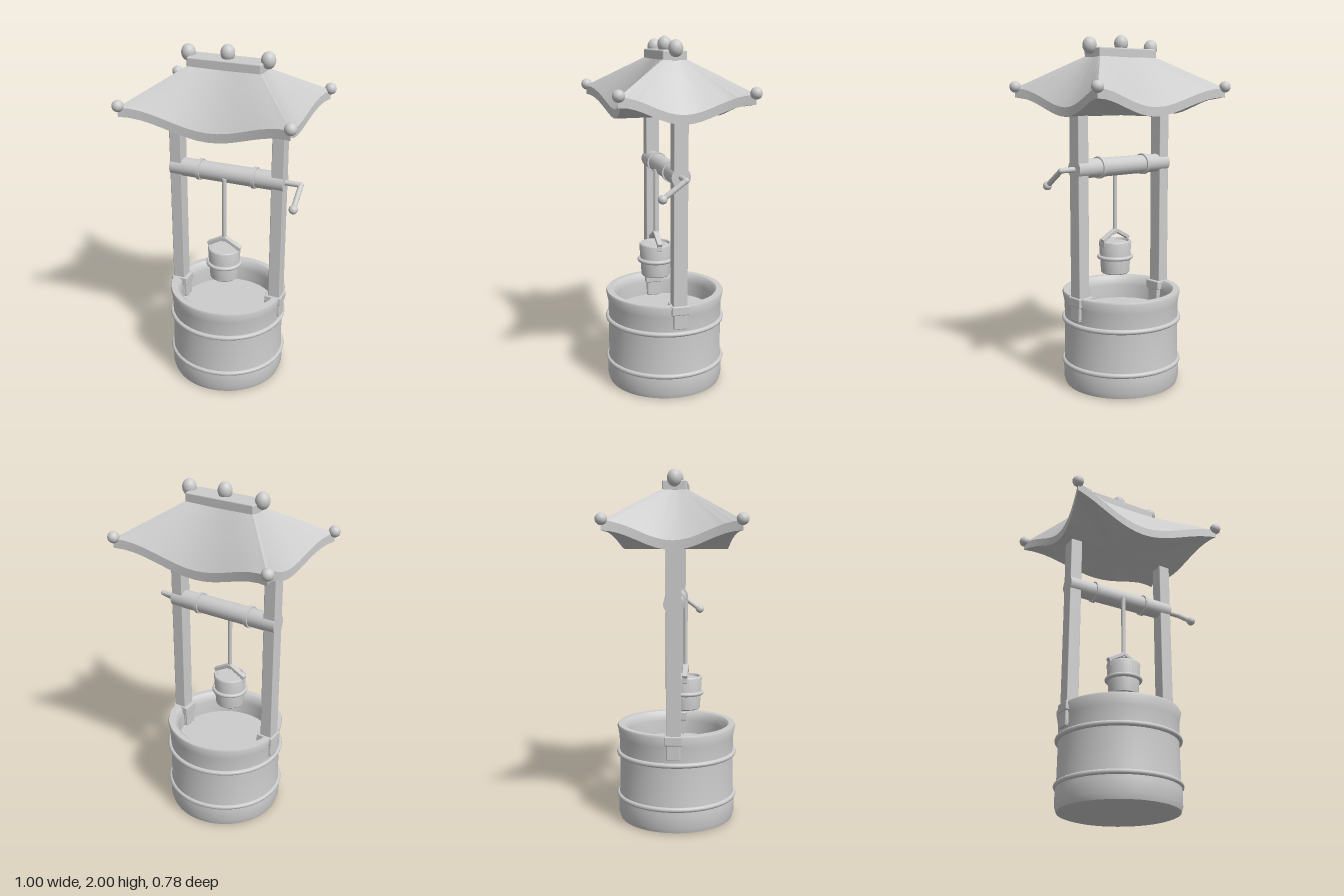
import * as THREE from 'three';
import { toCreasedNormals } from 'three/addons/utils/BufferGeometryUtils.js';
import { RoundedBoxGeometry } from 'three/addons/geometries/RoundedBoxGeometry.js';

const clay = new THREE.MeshStandardMaterial({ color: 0xcccccc });
clay.name = 'light grey';

export function createModel() {
  const model = new THREE.Group();
  model.name = 'well';

  const add = (name, geometry, x = 0, y = 0, z = 0, parent = model) => {
    const mesh = new THREE.Mesh(geometry, clay);
    mesh.name = name;
    mesh.position.set(x, y, z);
    parent.add(mesh);
    return mesh;
  };
  const lathe = (points, segments = 48) => toCreasedNormals(
    new THREE.LatheGeometry(points.map(([r, y]) => new THREE.Vector2(r, y)), segments), 0.7);
  const block = (w, h, d, r = 0.006) => new RoundedBoxGeometry(w, h, d, 2, r);
  const hoop = (name, radius, tube, x, y, z, parent) => {
    add(name, new THREE.TorusGeometry(radius, tube, 10, 48), x, y, z, parent).rotation.x = Math.PI / 2;
  };
  // Round rod between two points
  const rod = (name, a, b, radius, parent) => {
    const from = new THREE.Vector3(...a), to = new THREE.Vector3(...b);
    const dir = to.clone().sub(from);
    const mesh = add(name, new THREE.CylinderGeometry(radius, radius, dir.length(), 16), 0, 0, 0, parent);
    mesh.position.copy(from).add(to).multiplyScalar(0.5);
    mesh.quaternion.setFromUnitVectors(new THREE.Vector3(0, 1, 0), dir.normalize());
    return mesh;
  };

  // Basin with flared rim, raised inner floor and two hoops
  add('basin', lathe([
    [0, 0], [0.31, 0], [0.328, 0.006], [0.337, 0.035], [0.338, 0.11], [0.331, 0.17],
    [0.329, 0.38], [0.332, 0.49], [0.343, 0.545], [0.338, 0.556], [0.305, 0.556],
    [0.288, 0.54], [0.282, 0.5], [0.28, 0.42], [0, 0.42],
  ], 64));
  for (const y of [0.14, 0.39]) hoop('basinHoop', 0.334, 0.014, 0, y, 0);

  // Posts and the brackets that clamp them to the rim
  for (const side of [-1, 1]) {
    add('post', block(0.07, 1.24, 0.08, 0.004), side * 0.305, 1.05, 0);
    add('bracketTop', block(0.1, 0.052, 0.1), side * 0.3, 0.53, 0);
    add('bracketLower', block(0.09, 0.11, 0.076), side * 0.3, 0.475, 0);
  }

  // Winding drum with collars
  const drum = add('drum', new THREE.CylinderGeometry(0.053, 0.053, 0.68, 32), 0, 1.272, 0);
  drum.rotation.z = Math.PI / 2;
  for (const x of [-0.165, 0.165]) {
    add('drumCollar', new THREE.CylinderGeometry(0.061, 0.061, 0.02, 32), x, 1.272, 0).rotation.z = Math.PI / 2;
  }

  // Crank on the left end
  const crank = new THREE.Group();
  crank.name = 'crank';
  model.add(crank);
  rod('crankAxle', [0.33, 1.272, 0], [0.43, 1.272, 0], 0.015, crank);
  add('crankElbow', new THREE.SphereGeometry(0.016, 16, 12), 0.428, 1.272, 0, crank);
  rod('crankArm', [0.428, 1.272, 0], [0.428, 1.18, 0.125], 0.015, crank);
  add('crankKnob', new THREE.SphereGeometry(0.025, 20, 14), 0.428, 1.18, 0.125, crank);

  // Rope and bucket
  rod('rope', [0, 0.87, 0.053], [0, 1.26, 0.053], 0.012);
  const bucket = new THREE.Group();
  bucket.name = 'bucket';
  bucket.position.z = 0.053;
  model.add(bucket);
  add('bucketBody', lathe([
    [0, 0.64], [0.078, 0.64], [0.083, 0.645], [0.095, 0.825], [0.09, 0.832], [0.08, 0.832], [0.076, 0.82], [0, 0.82],
  ], 32), 0, 0, 0, bucket);
  hoop('bucketHoop', 0.094, 0.012, 0, 0.735, 0, bucket);
  for (const side of [-1, 1]) {
    const arm = add('bucketHandle', block(0.115, 0.022, 0.03, 0.004), side * 0.05, 0.866, 0, bucket);
    arm.rotation.z = -side * 0.5;
    add('handleLug', block(0.014, 0.05, 0.03, 0.004), side * 0.088, 0.825, 0, bucket);
  }

  // Roof: swept eaves rising to the corners, straight slopes up to the ridge
  add('roof', roofGeometry());
  add('ridge', block(0.42, 0.058, 0.134, 0.008), 0, 1.897, 0);
  for (const x of [-0.226, 0, 0.226]) {
    add('ridgeFinial', new THREE.SphereGeometry(0.039, 24, 18), x, x ? 1.936 : 1.953, 0).scale.y = 1.18;
  }
  for (const x of [-0.469, 0.469]) for (const z of [-0.358, 0.358]) {
    add('cornerBall', new THREE.SphereGeometry(0.032, 24, 18), x, 1.715, z);
  }
  return model;
}

function roofGeometry() {
  const steps = 16, loop = [];
  // Square loop in -1..1, anticlockwise from above
  for (let side = 0; side < 4; side++) {
    for (let i = 0; i < steps; i++) {
      const t = -1 + 2 * i / steps;
      loop.push([[t, 1], [1, -t], [-t, -1], [-1, t]][side]);
    }
  }
  const lift = (u, v) => 0.1 * (1 - Math.cos(Math.PI * Math.min(Math.abs(u), Math.abs(v)))) / 2;
  const eave = (u, v, y) => [u * (0.4 + 0.07 * v * v), y + lift(u, v), v * (0.29 + 0.07 * u * u)];
  const rings = [
    () => [0, 1.557, 0],
    (u, v) => eave(u, v, 1.557),
    (u, v) => eave(u, v, 1.607),
    (u, v) => [u * 0.205, 1.88, v * 0.063],
  ];
  const n = loop.length, position = [], index = [];
  rings.forEach((ring, r) => {
    loop.forEach(([u, v], i) => {
      position.push(...ring(u, v));
      if (r === 0) return;
      const j = (i + 1) % n, a = (r - 1) * n, b = r * n;
      if (r > 1) index.push(a + i, a + j, b + j);
      index.push(a + i, b + j, b + i);
    });
  });
  const geometry = new THREE.BufferGeometry();
  geometry.setAttribute('position', new THREE.Float32BufferAttribute(position, 3));
  geometry.setIndex(index);
  return toCreasedNormals(geometry, 0.5);
}
